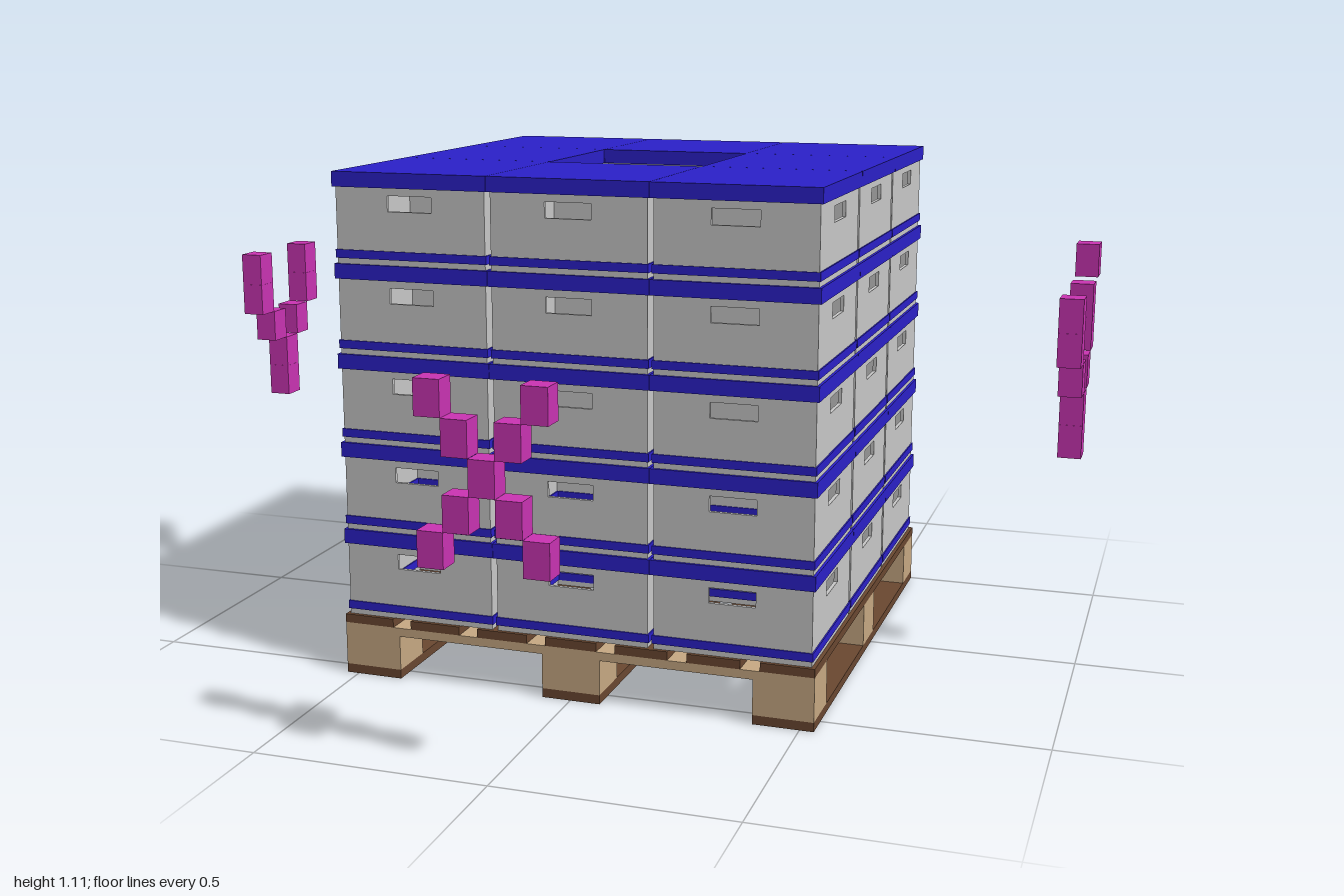
import * as THREE from 'three';

const mat = (name, color) => {
  const m = new THREE.MeshStandardMaterial({ color });
  m.name = name;
  return m;
};

const TILT = -0.012;   // slight turn of the whole load
const PITCH = 0.351;   // crate footprint
const LAYER = 0.194;   // crate height
const DECK = 0.135;    // pallet height

export function createModel() {
  const grey = mat('crateGrey', 0xc9c9c9);
  const blue = mat('lidBlue', 0x2b20ca);
  const green = mat('crateGreen', 0x2db033);
  const brown = mat('boardBrown', 0x6b4831);
  const beige = mat('blockBeige', 0xc8aa84);
  const magenta = mat('markerMagenta', 0xcb34b4);

  const add = (parent, name, geo, material, x = 0, y = 0, z = 0) => {
    const mesh = new THREE.Mesh(geo, material);
    mesh.name = name;
    mesh.position.set(x, y, z);
    parent.add(mesh);
    return mesh;
  };

  const model = new THREE.Group();
  model.name = 'palletLoad';
  const load = new THREE.Group();
  load.name = 'load';
  load.position.set(0.008, 0, 0.024);
  load.rotation.y = TILT;
  model.add(load);

  // Pallet: runners along z, blocks, cross boards along x, deck boards along z
  const pallet = new THREE.Group();
  pallet.name = 'pallet';
  load.add(pallet);
  const runnerGeo = new THREE.BoxGeometry(0.13, 0.02, 1.057);
  const blockGeo = new THREE.BoxGeometry(0.13, 0.077, 0.11);
  const crossGeo = new THREE.BoxGeometry(1.057, 0.019, 0.11);
  const deckGeo = new THREE.BoxGeometry(0.115, 0.019, 1.057);
  for (let i = -1; i <= 1; i++) {
    add(pallet, 'runner', runnerGeo, brown, i * 0.4635, 0.01, 0);
    add(pallet, 'crossBoard', crossGeo, beige, 0, 0.1065, i * 0.4735);
    for (let j = -1; j <= 1; j++) add(pallet, 'block', blockGeo, beige, i * 0.4635, 0.0585, j * 0.4735);
  }
  for (let i = -3; i <= 3; i++) add(pallet, 'deckBoard', deckGeo, brown, i * 0.157, 0.1255, 0);

  // Crate parts: wall panel with a handle slot, base band and lid
  const half = 0.169, wallH = LAYER - 0.032;
  const rect = (s, x0, y0, x1, y1) => {
    s.moveTo(x0, y0); s.lineTo(x1, y0); s.lineTo(x1, y1); s.lineTo(x0, y1); s.closePath();
    return s;
  };
  const wall = rect(new THREE.Shape(), -half, 0, half, wallH);
  wall.holes.push(rect(new THREE.Path(), -0.05, 0.113, 0.05, 0.146));
  const wallGeo = new THREE.ExtrudeGeometry(wall, { depth: 0.008, bevelEnabled: false });
  wallGeo.translate(0, 0, half - 0.008);
  const bandGeo = new THREE.BoxGeometry(2 * half + 0.006, 0.018, 0.014);
  bandGeo.translate(0, 0.021, half + 0.003 - 0.007);
  const lidGeo = new THREE.BoxGeometry(0.35, 0.032, 0.35);

  const crate = (wallMat, trimMat) => {
    const g = new THREE.Group();
    g.name = 'crate';
    for (let k = 0; k < 4; k++) {
      add(g, 'crateWall', wallGeo, wallMat).rotation.y = k * Math.PI / 2;
      add(g, 'baseBand', bandGeo, trimMat).rotation.y = k * Math.PI / 2;
    }
    add(g, 'lid', lidGeo, trimMat, 0, LAYER - 0.016, 0);
    return g;
  };

  // Five layers of eight crates around an open shaft, one corner crate green
  for (let layer = 0; layer < 5; layer++)
    for (let i = -1; i <= 1; i++)
      for (let j = -1; j <= 1; j++) {
        if (i === 0 && j === 0) continue;
        const odd = layer === 0 && i === -1 && j === -1;
        const c = odd ? crate(green, green) : crate(grey, blue);
        c.position.set(i * PITCH, DECK + layer * LAYER, j * PITCH);
        load.add(c);
      }

  // Floating side markers of stacked blocks: [column, row] offsets
  const crossed = [[0, 0], [-1, 1], [1, 1], [-2, 2], [2, 2], [-1, -1], [1, -1], [-2, -2], [2, -2]];
  const forked = [[0, -2], [0, -1], [-1, 0], [1, 0], [-2, 1], [2, 1], [-2, 2], [2, 2]];
  const cubeGeo = new THREE.BoxGeometry(0.0535, 0.0725, 0.05);
  const marker = (name, cells, quarter, x, y, z, extra) => {
    const g = new THREE.Group();
    g.name = name;
    g.position.set(x, y, z);
    g.rotation.y = TILT + quarter * Math.PI / 2;
    for (const [c, r] of cells) add(g, 'markerBlock', cubeGeo, magenta, c * 0.0535, r * 0.0727, 0);
    if (extra) add(g, 'markerExtraBlock', cubeGeo, magenta, 0.2, extra, 0);
    model.add(g);
  };
  marker('frontMarker', crossed, 0, -0.004, 0.597, 0.965);
  marker('leftMarker', forked, 1, 0.97, 0.672, 0.046, 0.22);
  marker('backMarker', crossed, 2, 0.03, 0.597, -0.967, 0.202);
  marker('rightMarker', forked, 3, -0.97, 0.672, -0.012);

  return model;
}
